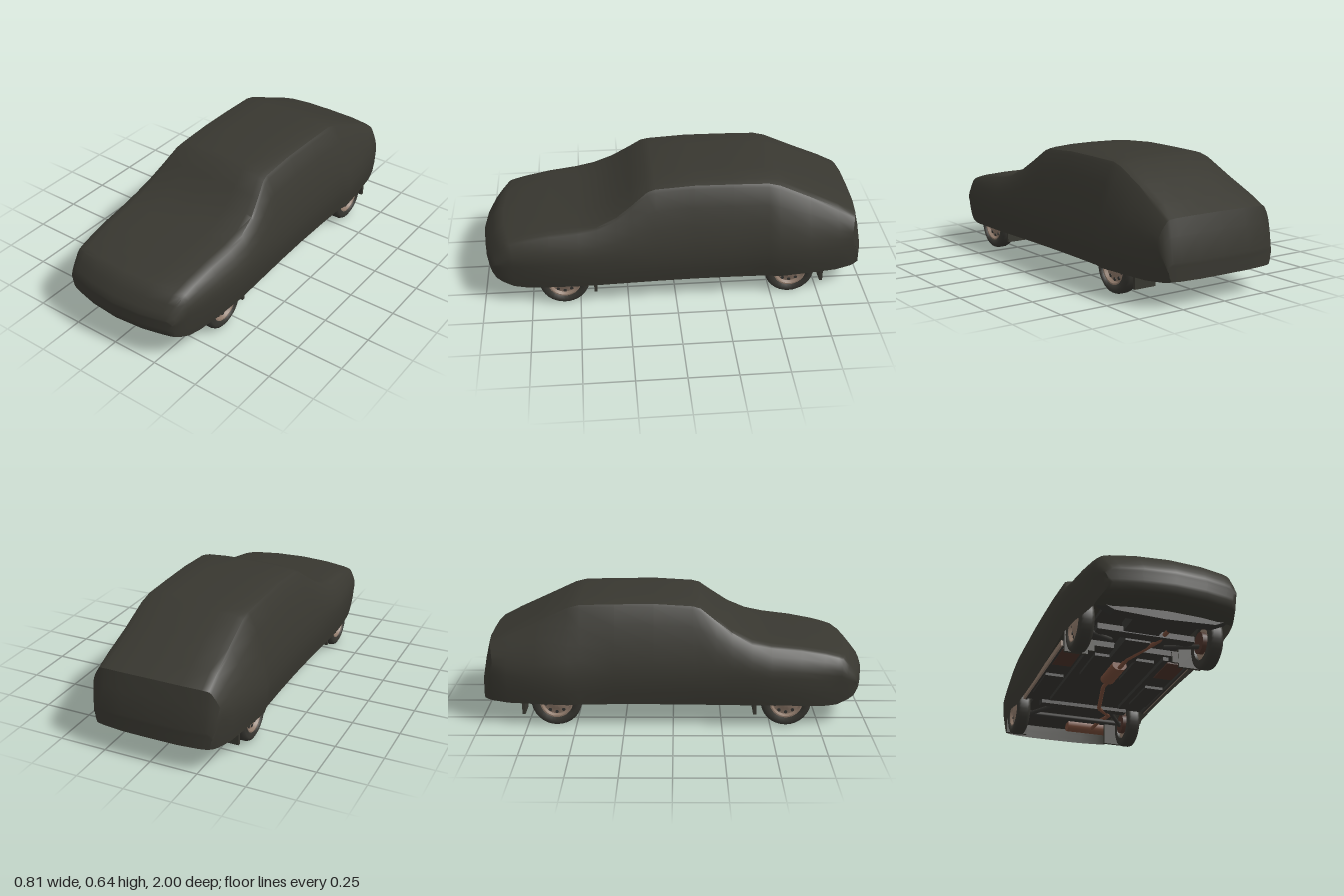
import * as THREE from 'three';
import { toCreasedNormals } from 'three/addons/utils/BufferGeometryUtils.js';

const mat = (name, color, side = THREE.FrontSide) => {
  const m = new THREE.MeshStandardMaterial({ color, side });
  m.name = name;
  return m;
};

// Cover stations, front to back: z, bottom, widest half width, top edge half width, top height
const STATIONS = [
  [1.0, 0.18, 0.315, 0.3, 0.255],
  [0.985, 0.15, 0.33, 0.31, 0.285],
  [0.955, 0.132, 0.345, 0.32, 0.325],
  [0.92, 0.12, 0.355, 0.328, 0.363],
  [0.89, 0.11, 0.36, 0.33, 0.372],
  [0.8, 0.107, 0.375, 0.332, 0.391],
  [0.65, 0.115, 0.395, 0.337, 0.415],
  [0.5, 0.12, 0.406, 0.343, 0.433],
  [0.4, 0.12, 0.404, 0.345, 0.455],
  [0.3, 0.12, 0.4, 0.332, 0.504],
  [0.22, 0.12, 0.397, 0.312, 0.562],
  [0.14, 0.12, 0.394, 0.29, 0.622],
  [0.1, 0.12, 0.392, 0.284, 0.633],
  [-0.1, 0.12, 0.388, 0.283, 0.645],
  [-0.3, 0.12, 0.389, 0.284, 0.643],
  [-0.48, 0.12, 0.393, 0.284, 0.639],
  [-0.54, 0.12, 0.407, 0.285, 0.624],
  [-0.7, 0.12, 0.389, 0.288, 0.549],
  [-0.85, 0.12, 0.368, 0.295, 0.476],
  [-0.957, 0.125, 0.345, 0.3, 0.423],
  [-0.978, 0.125, 0.333, 0.3, 0.34],
  [-1.0, 0.13, 0.313, 0.296, 0.22],
];

// Half section, from the hem up to the centre line
function halfSection([, b, w, wt, yt]) {
  const mid = Math.min(0.27, b + 0.5 * (yt - b));
  const edge = yt - Math.min(0.035, 0.13 * (yt - mid));
  const pts = [[w * 0.955, b], [w * 0.985, b + (mid - b) * 0.45], [w, mid]];
  for (const t of [0.25, 0.5, 0.75]) {
    const bulge = 0.014 * Math.sin(Math.PI * t);
    pts.push([w + (wt - w) * t + bulge, mid + (edge - mid) * t]);
  }
  pts.push([wt, edge], [wt - 0.012, edge + (yt - edge) * 0.45], [wt - 0.045, edge + (yt - edge) * 0.72],
    [wt * 0.5, edge + (yt - edge) * 0.93], [0, yt]);
  return pts;
}

const mirrored = (half) => [...half, ...half.slice(0, -1).reverse().map(([x, y]) => [-x, y])];

// The nose bows back towards its corners, the tail only rounds them
const bowedZ = (x, z) => z - 0.55 * THREE.MathUtils.smoothstep(z, 0.65, 1) * x * x
  + 3 * THREE.MathUtils.smoothstep(-z, 0.85, 1) * x ** 4;

function coverGeometry() {
  const pos = [], idx = [];
  const n = 21, last = STATIONS.length - 1;
  const halves = STATIONS.map(halfSection);
  halves.forEach((half, j) => {
    for (const [x, y] of mirrored(half)) pos.push(x, y, bowedZ(x, STATIONS[j][0]));
  });
  for (let j = 0; j < last; j++) {
    for (let i = 0; i < n - 1; i++) {
      const a = j * n + i, b = a + n;
      idx.push(a, b, a + 1, a + 1, b, b + 1);
    }
  }

  // end panels: straight down the first or last section, then tucked under along the given hems
  const endPanel = (end, hems, front) => {
    const top = mirrored(halves[end].slice(6));
    const rows = [[top, end]];
    const addRow = ([w, y], j) => rows.push([top.map(([x]) => [(x / top[0][0]) * w, y]), j]);
    halves[end].slice(0, 6).reverse().forEach((p) => addRow(p, end));
    for (const j of hems) addRow(halves[j][0], j);
    const start = pos.length / 3, cols = top.length;
    for (const [row, j] of rows) for (const [x, y] of row) pos.push(x, y, bowedZ(x, STATIONS[j][0]));
    for (let r = 0; r < rows.length - 1; r++) {
      for (let i = 0; i < cols - 1; i++) {
        const a = start + r * cols + i, b = a + cols;
        if (front) idx.push(a, a + 1, b, a + 1, b + 1, b);
        else idx.push(a, b, a + 1, a + 1, b, b + 1);
      }
    }
  };
  endPanel(0, [1, 2, 3, 4], true);
  endPanel(last, [], false);

  const g = new THREE.BufferGeometry();
  g.setAttribute('position', new THREE.Float32BufferAttribute(pos, 3));
  g.setIndex(idx);
  return toCreasedNormals(g, 0.6);
}

export function createModel() {
  const root = new THREE.Group();
  const cloth = mat('cover cloth', 0x383730, THREE.DoubleSide);
  const chassis = mat('dark chassis', 0x343330);
  const rubber = mat('tyre rubber', 0x35342f);
  const steel = mat('wheel steel', 0x8c7768);
  const rust = mat('rusty exhaust', 0x744a38);
  const brown = mat('brown floor', 0x4a3128);

  const add = (name, geo, m, x = 0, y = 0, z = 0, parent = root) => {
    const mesh = new THREE.Mesh(geo, m);
    mesh.name = name;
    mesh.position.set(x, y, z);
    parent.add(mesh);
    return mesh;
  };
  const box = (name, m, w, h, d, x, y, z) => add(name, new THREE.BoxGeometry(w, h, d), m, x, y, z);
  const rod = (name, m, r, pts) => {
    const path = new THREE.CurvePath();
    const v = pts.map((p) => new THREE.Vector3(...p));
    for (let i = 1; i < v.length; i++) path.add(new THREE.LineCurve3(v[i - 1], v[i]));
    return add(name, new THREE.TubeGeometry(path, (v.length - 1) * 8, r, 10), m);
  };

  add('carCover', coverGeometry(), cloth);

  // floor and frame
  box('floorPan', chassis, 0.68, 0.03, 0.78, 0, 0.155, -0.02);
  box('engineBayFloor', chassis, 0.5, 0.02, 0.56, 0, 0.185, 0.63);
  box('rearFloor', chassis, 0.52, 0.02, 0.56, 0, 0.205, -0.68);
  box('frontCrossmember', chassis, 0.5, 0.03, 0.06, 0, 0.13, 0.58);
  box('engineSump', chassis, 0.18, 0.06, 0.22, -0.03, 0.15, 0.7);
  box('gearbox', chassis, 0.13, 0.05, 0.24, -0.02, 0.135, 0.42);
  box('rearCrossmember', chassis, 0.5, 0.03, 0.05, 0, 0.135, -0.42);
  rod('rearAxle', chassis, 0.014, [[-0.3, 0.13, -0.6], [0.3, 0.13, -0.6]]);

  // valance under the nose
  const valance = new THREE.Shape([[-0.32, 0.125], [-0.25, 0.093], [0, 0.083], [0.25, 0.093], [0.32, 0.125]]
    .map(([x, y]) => new THREE.Vector2(x, y)));
  add('frontValance', new THREE.ExtrudeGeometry(valance, { depth: 0.06, bevelEnabled: false }), chassis, 0, 0, 0.8);

  for (const s of [1, -1]) {
    box('floorRail', chassis, 0.03, 0.025, 0.7, s * 0.2, 0.132, 0);
    box('rustyFootwell', brown, 0.1, 0.012, 0.2, s * 0.28, 0.137, 0.2);
    box('seatPan', chassis, 0.1, 0.02, 0.26, s * 0.28, 0.135, -0.16);
    box('tunnelSide', chassis, 0.1, 0.02, 0.26, s * 0.11, 0.135, 0.16);
    box('sill', steel, 0.01, 0.028, 0.74, s * 0.351, 0.139, -0.02);
    box('sillFlange', chassis, 0.01, 0.03, 0.74, s * 0.341, 0.138, -0.02);
    rod('trailingArm', chassis, 0.012, [[s * 0.14, 0.13, -0.4], [s * 0.28, 0.12, -0.6]]);
    rod('frontArm', chassis, 0.012, [[s * 0.14, 0.13, 0.48], [s * 0.29, 0.11, 0.58]]);
    // mud flaps behind the wheels
    for (const z of [0.42, -0.77]) box('mudFlap', cloth, 0.12, 0.12, 0.016, s * 0.3, 0.12, z);
    box('flapBracket', cloth, 0.04, 0.06, 0.012, s * 0.225, 0.112, 0.42);
  }

  // exhaust line
  rod('exhaustPipe', rust, 0.011, [[0.1, 0.14, 0.64], [0.08, 0.118, 0.56], [0, 0.112, 0.32],
    [0, 0.112, -0.06], [0.08, 0.118, -0.38], [0.18, 0.13, -0.5], [0.18, 0.16, -0.66], [0.18, 0.17, -0.86]]);
  const middle = add('middleSilencer', new THREE.CylinderGeometry(0.028, 0.028, 0.2, 16), rust, 0, 0.126, 0.11);
  middle.rotation.x = Math.PI / 2;
  middle.scale.x = 1.4;
  const rear = add('rearSilencer', new THREE.CylinderGeometry(0.036, 0.036, 0.24, 16), rust, 0.15, 0.18, -0.85);
  rear.rotation.z = Math.PI / 2;

  // wheels, with the outer face along the local +y axis
  const tyre = [[0.085, -0.034], [0.112, -0.038], [0.125, -0.031], [0.13, -0.018], [0.13, 0.018], [0.125, 0.031],
    [0.112, 0.038], [0.085, 0.034], [0.085, -0.034]].map(([r, y]) => new THREE.Vector2(r, y));
  const rim = [[0, -0.02], [0.088, -0.02], [0.088, 0.034], [0.078, 0.034], [0.07, 0.018], [0.045, 0.022],
    [0.03, 0.032], [0, 0.032]].map(([r, y]) => new THREE.Vector2(r, y));
  const tyreGeo = new THREE.LatheGeometry(tyre, 32);
  const rimGeo = toCreasedNormals(new THREE.LatheGeometry(rim, 32), 0.6);
  const holeGeo = new THREE.CylinderGeometry(0.009, 0.009, 0.006, 10);
  const drumGeo = new THREE.CylinderGeometry(0.055, 0.055, 0.03, 20);
  for (const s of [1, -1]) {
    for (const z of [0.58, -0.6]) {
      const wheel = new THREE.Group();
      wheel.name = 'wheel';
      wheel.position.set(s * 0.328, 0.13, z);
      wheel.rotation.z = -s * Math.PI / 2;
      add('tyre', tyreGeo, rubber, 0, 0, 0, wheel);
      add('rim', rimGeo, steel, 0, 0, 0, wheel);
      for (let i = 0; i < 10; i++) {
        const a = (i / 10) * Math.PI * 2;
        add('rimHole', holeGeo, chassis, 0.059 * Math.cos(a), 0.0195, 0.059 * Math.sin(a), wheel);
      }
      add('brakeDrum', drumGeo, brown, 0, -0.03, 0, wheel);
      root.add(wheel);
    }
  }
  return root;
}
